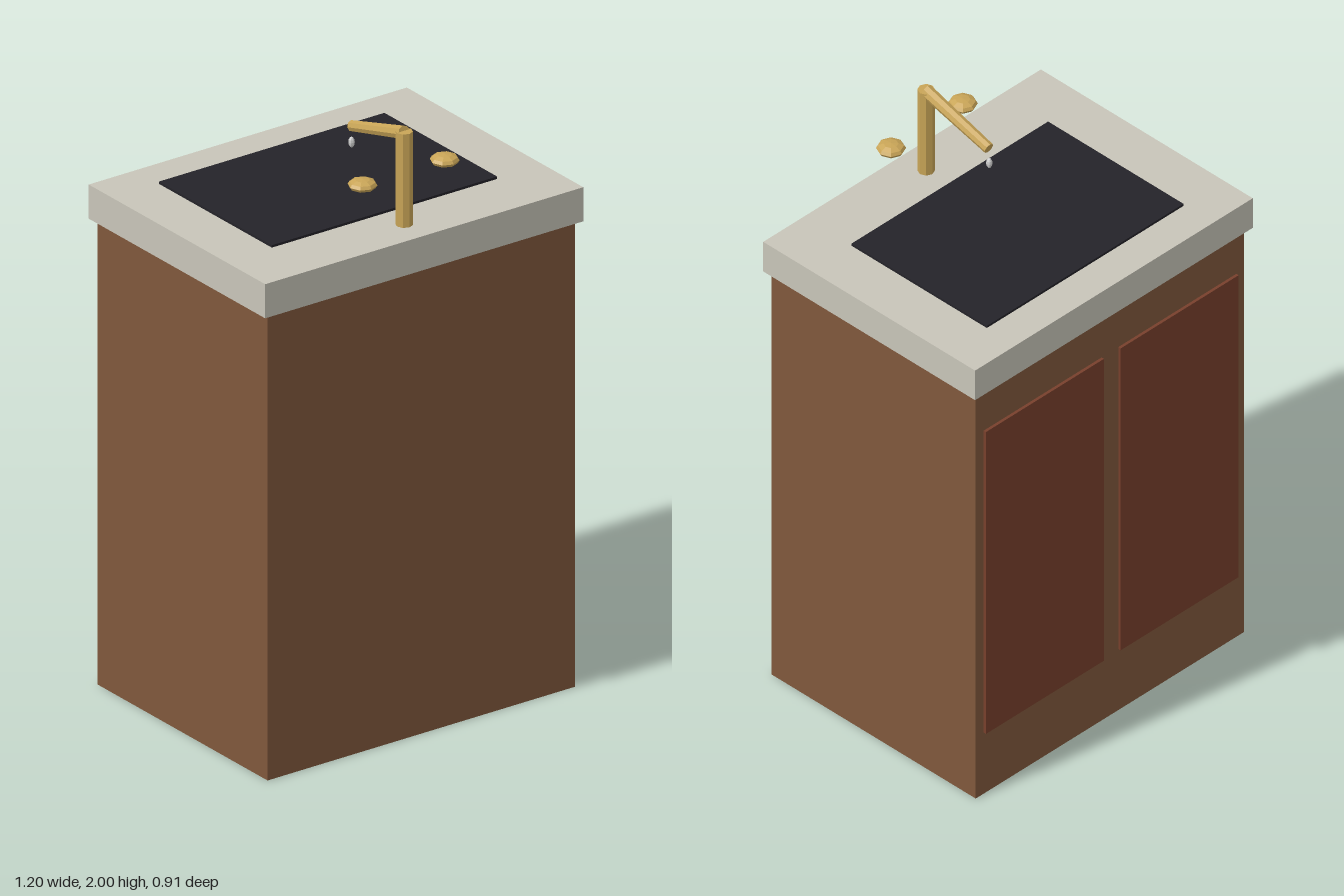
import * as THREE from 'three';

const material = (color, flatShading = false) => new THREE.MeshStandardMaterial({ color, flatShading });

export function createModel() {
  const model = new THREE.Group();
  model.name = 'sinkCabinet';

  const wood = material(0x80583c);
  const doorWood = material(0x78402c);
  const stone = material(0xc8c5b9);
  const dark = material(0x242329);
  const brass = material(0xc9a557, true);
  const grey = material(0xcccccc, true);

  const add = (name, geometry, mat, x, y, z) => {
    const mesh = new THREE.Mesh(geometry, mat);
    mesh.name = name;
    mesh.position.set(x, y, z);
    model.add(mesh);
    return mesh;
  };
  // Box given by its lower and upper corners
  const box = (name, mat, [x0, y0, z0], [x1, y1, z1]) =>
    add(name, new THREE.BoxGeometry(x1 - x0, y1 - y0, z1 - z0), mat,
      (x0 + x1) / 2, (y0 + y1) / 2, (z0 + z1) / 2);

  // Cabinet, worktop and basin
  box('cabinet', wood, [-0.58, 0, -0.436], [0.58, 1.555, 0.438]);
  box('worktop', stone, [-0.6, 1.555, -0.453], [0.6, 1.669, 0.453]);
  box('basin', dark, [-0.425, 1.65, -0.33], [0.425, 1.677, 0.249]);

  // Doors on the back, and tap knobs
  for (const [side, s] of [['left', 1], ['right', -1]]) {
    const door = new THREE.BoxGeometry(0.51, 1.163, 0.02);
    add(side + 'Door', door, doorWood, s * 0.291, 0.817, -0.436);

    const knob = new THREE.SphereGeometry(0.046, 8, 6).scale(1, 0.42, 1);
    add(side + 'Knob', knob, brass, s * 0.155, 1.843, 0.347);
  }

  // Tap: upright post and tapered spout sloping down over the basin
  add('tapPost', new THREE.CylinderGeometry(0.027, 0.027, 0.315, 8), brass, 0, 1.8235, 0.35);

  const start = new THREE.Vector3(0, 1.976, 0.35);
  const end = new THREE.Vector3(0, 1.9, 0.082);
  const along = end.clone().sub(start);
  const middle = start.clone().lerp(end, 0.5);
  const spout = add('tapSpout', new THREE.CylinderGeometry(0.018, 0.022, along.length(), 8),
    brass, middle.x, middle.y, middle.z);
  spout.quaternion.setFromUnitVectors(new THREE.Vector3(0, 1, 0), along.normalize());

  // Water drop under the spout
  add('waterDrop', new THREE.SphereGeometry(0.01, 8, 6).scale(1, 1.8, 1), grey, 0, 1.845, 0.08);

  return model;
}
